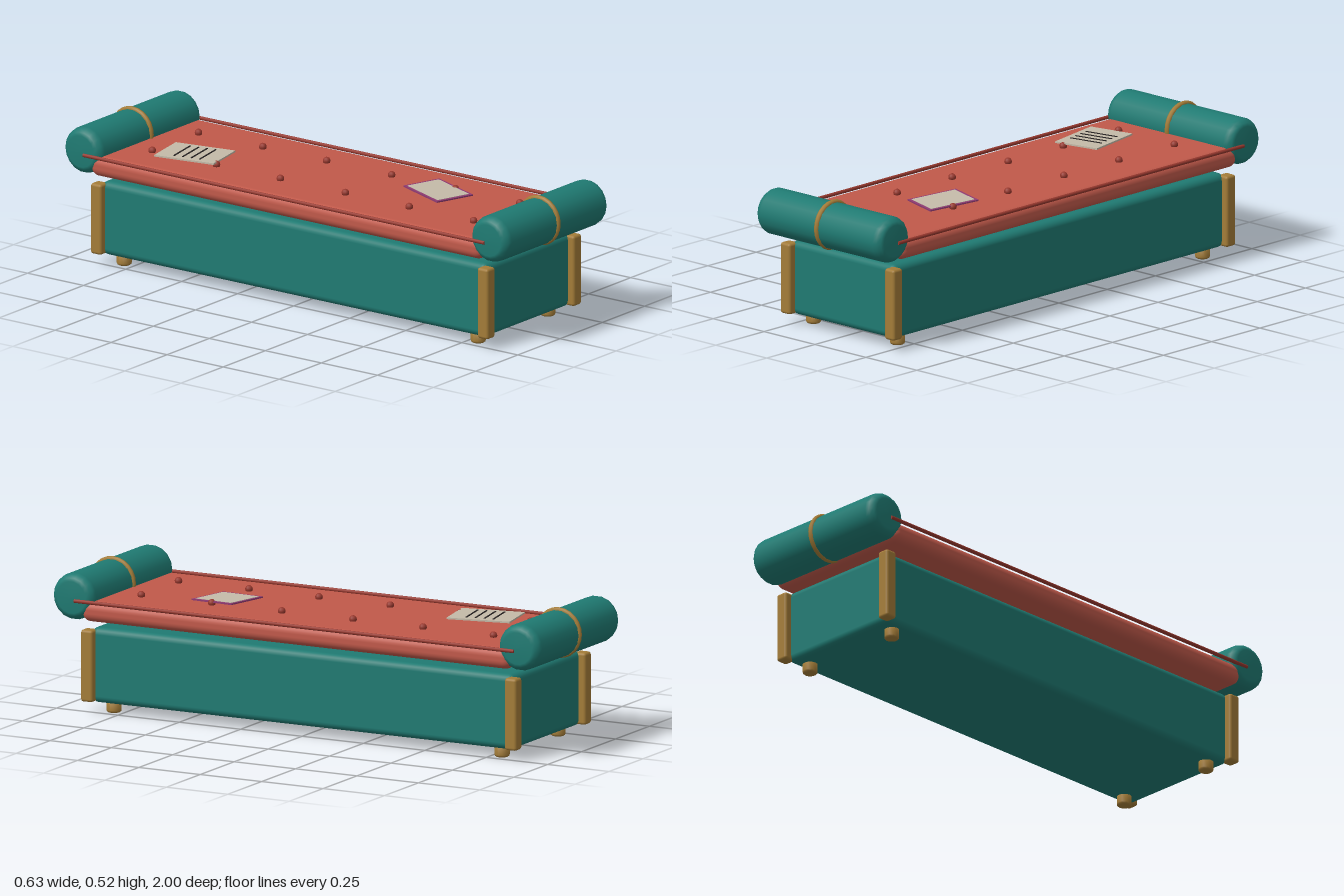
import * as THREE from 'three';
import { RoundedBoxGeometry } from 'three/addons/geometries/RoundedBoxGeometry.js';

const mat = (color) => new THREE.MeshStandardMaterial({ color });

export function createModel() {
  const model = new THREE.Group();
  const teal = mat(0x1f7a72), red = mat(0xc0594a), darkRed = mat(0x96382e);
  const gold = mat(0xa37c38), paper = mat(0xc4baa8), ink = mat(0x262222), purple = mat(0x8e3a72);

  const add = (name, geometry, material, x, y, z, parent = model) => {
    const mesh = new THREE.Mesh(geometry, material);
    mesh.name = name;
    mesh.position.set(x, y, z);
    parent.add(mesh);
    return mesh;
  };
  const lathe = (points, sides) =>
    new THREE.LatheGeometry(points.map(([r, y]) => new THREE.Vector2(r, y)), sides);

  // Base and mattress
  add('base', new RoundedBoxGeometry(0.51, 0.274, 1.72, 3, 0.025), teal, 0, 0.173, 0);
  add('mattress', new RoundedBoxGeometry(0.61, 0.076, 1.75, 4, 0.032), red, 0, 0.376, 0);

  // Corner posts and feet
  const postGeometry = new RoundedBoxGeometry(0.048, 0.262, 0.048, 2, 0.01);
  const footGeometry = lathe(
    [[0, 0], [0.021, 0], [0.0255, 0.003], [0.0275, 0.009], [0.0275, 0.05], [0, 0.05]], 12);
  for (const sx of [-1, 1]) {
    for (const sz of [-1, 1]) {
      add('cornerPost', postGeometry, gold, sx * 0.256, 0.172, sz * 0.863);
      add('foot', footGeometry, gold, sx * 0.206, 0, sz * 0.79);
    }
  }

  // Piping along the long edges
  const pipingGeometry = new THREE.CylinderGeometry(0.007, 0.007, 1.79, 8).rotateX(Math.PI / 2);
  for (const sx of [-1, 1]) add('piping', pipingGeometry, darkRed, sx * 0.308, 0.412, 0);

  // Bolsters with rounded ends, each tied with a band
  const halfProfile = [[0, 0.309], [0.058, 0.308], [0.07, 0.303], [0.081, 0.29], [0.085, 0.275]];
  const profile = [
    ...halfProfile.map(([r, y]) => [r, -y]),
    ...halfProfile.slice().reverse(),
  ];
  const bolsterGeometry = lathe(profile, 18).rotateZ(Math.PI / 2);
  const bandGeometry = new THREE.TorusGeometry(0.082, 0.0105, 8, 24).rotateY(Math.PI / 2);
  for (const sz of [-1, 1]) {
    add('bolster', bolsterGeometry, teal, 0, 0.423, sz * 0.908);
    add('bolsterBand', bandGeometry, gold, 0, 0.425, sz * 0.908);
  }

  // Tufting buttons
  const buttonGeometry = new THREE.SphereGeometry(0.014, 10, 8);
  for (const x of [-0.137, 0.137]) {
    for (const z of [-0.717, -0.43, -0.145, 0.145, 0.43, 0.717]) {
      add('button', buttonGeometry, darkRed, x, 0.421, z);
    }
  }

  // Written page
  const page = new THREE.Group();
  page.name = 'page';
  page.position.set(-0.103, 0.431, -0.553);
  page.rotation.y = 0.19;
  model.add(page);
  add('sheet', new THREE.BoxGeometry(0.176, 0.006, 0.236), paper, 0, 0, 0, page);
  for (let i = 0; i < 4; i++) {
    add('writtenLine', new THREE.BoxGeometry(0.132, 0.003, 0.006), ink,
      0, 0.0035, -0.05 + i * 0.034, page);
  }

  // Bordered card, slightly tilted
  const card = new THREE.Group();
  card.name = 'card';
  card.position.set(0.066, 0.427, 0.406);
  card.rotation.set(0.06, -0.28, 0, 'XYZ');
  model.add(card);
  add('cardBorder', new THREE.BoxGeometry(0.16, 0.005, 0.2), purple, 0, 0, 0, card);
  add('cardFace', new THREE.BoxGeometry(0.14, 0.004, 0.18), paper, 0, 0.0018, 0, card);

  return model;
}
